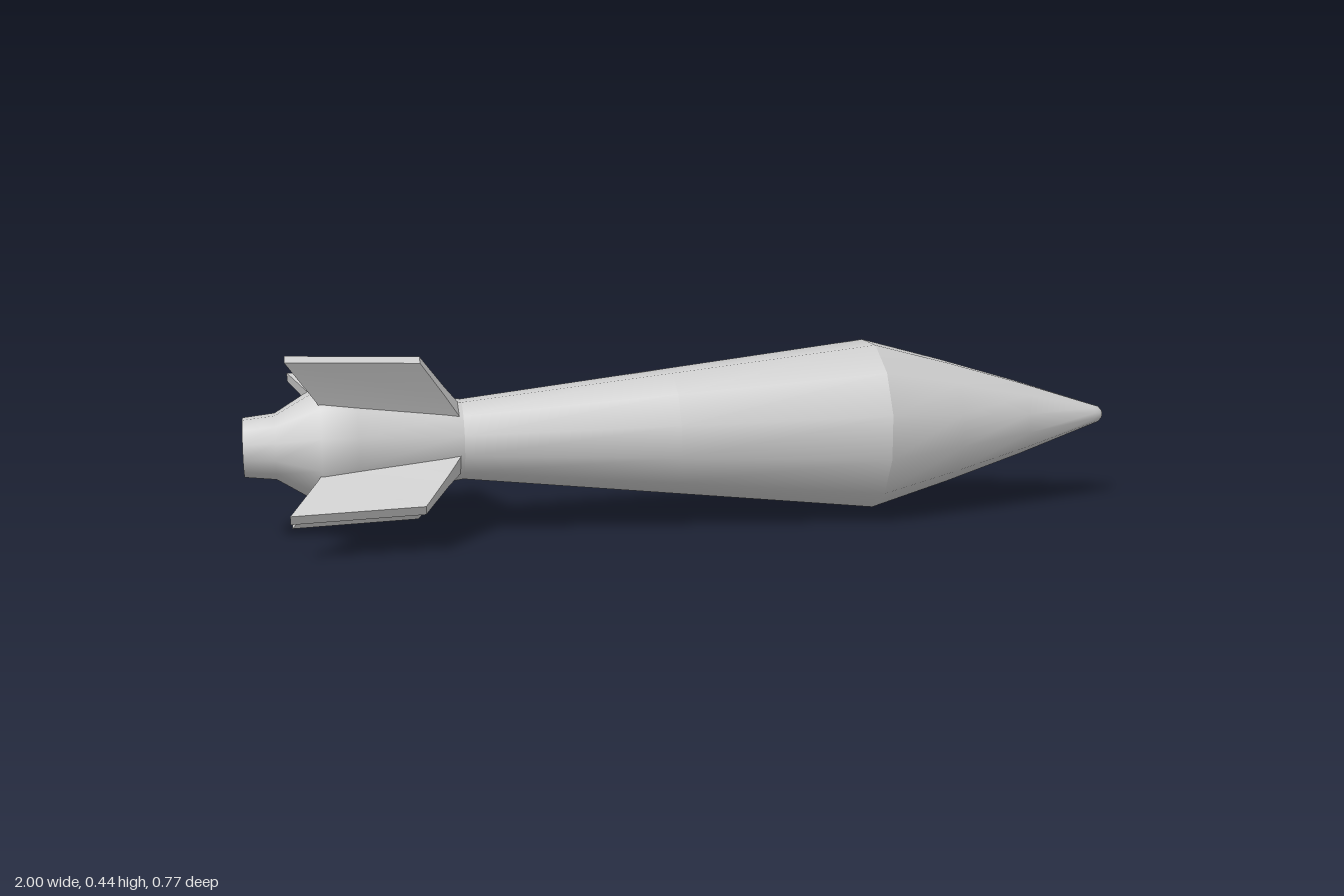
import * as THREE from 'three';

const grey = new THREE.MeshStandardMaterial({ color: 0xcccccc });
const SIDES = 12;
const PHASE = Math.PI / SIDES;

// Lathe section: list of [radius, distance from tail]
function lathe(name, profile) {
  const points = profile.map(([r, t]) => new THREE.Vector2(r, t));
  const mesh = new THREE.Mesh(new THREE.LatheGeometry(points, SIDES, PHASE), grey);
  mesh.name = name;
  return mesh;
}

// Swept fin: a box whose sections are moved from a thick root to a thin tip
function finGeometry() {
  const sections = [
    // inner to outer: rear radius, rear t, front radius, front t, thickness
    [0.05, 0.215, 0.05, 0.5, 0.065],
    [0.145, 0.158, 0.14, 0.445, 0.035],
    [0.246, 0.098, 0.234, 0.388, 0.024],
  ];
  const geometry = new THREE.BoxGeometry(1, 1, 1, 2, 1, 1);
  const p = geometry.attributes.position;
  for (let i = 0; i < p.count; i++) {
    const [rr, rt, fr, ft, thick] = sections[Math.round((p.getX(i) + 0.5) * 2)];
    const front = p.getY(i) > 0;
    p.setXYZ(i, front ? fr : rr, front ? ft : rt, p.getZ(i) * thick);
  }
  geometry.computeVertexNormals();
  return geometry;
}

export function createModel() {
  const rocket = new THREE.Group();
  rocket.name = 'rocket';

  // Tail boat, swelling between the fins
  rocket.add(lathe('tailCone', [[0.067, 0], [0.075, 0.07], [0.137, 0.17], [0.125, 0.25], [0.092, 0.485]]));

  // Long flaring body
  rocket.add(lathe('body', [[0.092, 0.485], [0.147, 0.97], [0.202, 1.454]]));

  // Pointed nose with a small rounded tip
  rocket.add(lathe('nose', [[0.202, 1.454], [0.148, 1.646], [0.09, 1.835], [0.025, 2.03],
    [0.02, 2.046], [0.011, 2.055], [0, 2.058]]));

  // Flat tail end
  const cap = new THREE.Mesh(new THREE.CircleGeometry(0.067, SIDES, PHASE).rotateX(Math.PI / 2), grey);
  cap.name = 'tailCap';
  rocket.add(cap);

  // Four fins, a quarter turn apart
  const fin = finGeometry();
  for (let i = 0; i < 4; i++) {
    const mesh = new THREE.Mesh(fin, grey);
    mesh.name = `fin${i + 1}`;
    mesh.rotation.y = Math.PI / 6 + (i * Math.PI) / 2;
    rocket.add(mesh);
  }

  // Lay the rocket level, with its nose turned slightly to the back
  const axis = new THREE.Vector3(0.963, 0, -0.27).normalize();
  const up = new THREE.Vector3(0, 1, 0);
  const side = new THREE.Vector3().crossVectors(up, axis);
  rocket.quaternion.setFromRotationMatrix(new THREE.Matrix4().makeBasis(up, axis, side));
  rocket.position.set(-0.983, 0.221, 0.2);

  const model = new THREE.Group();
  model.name = 'model';
  model.add(rocket);
  return model;
}
